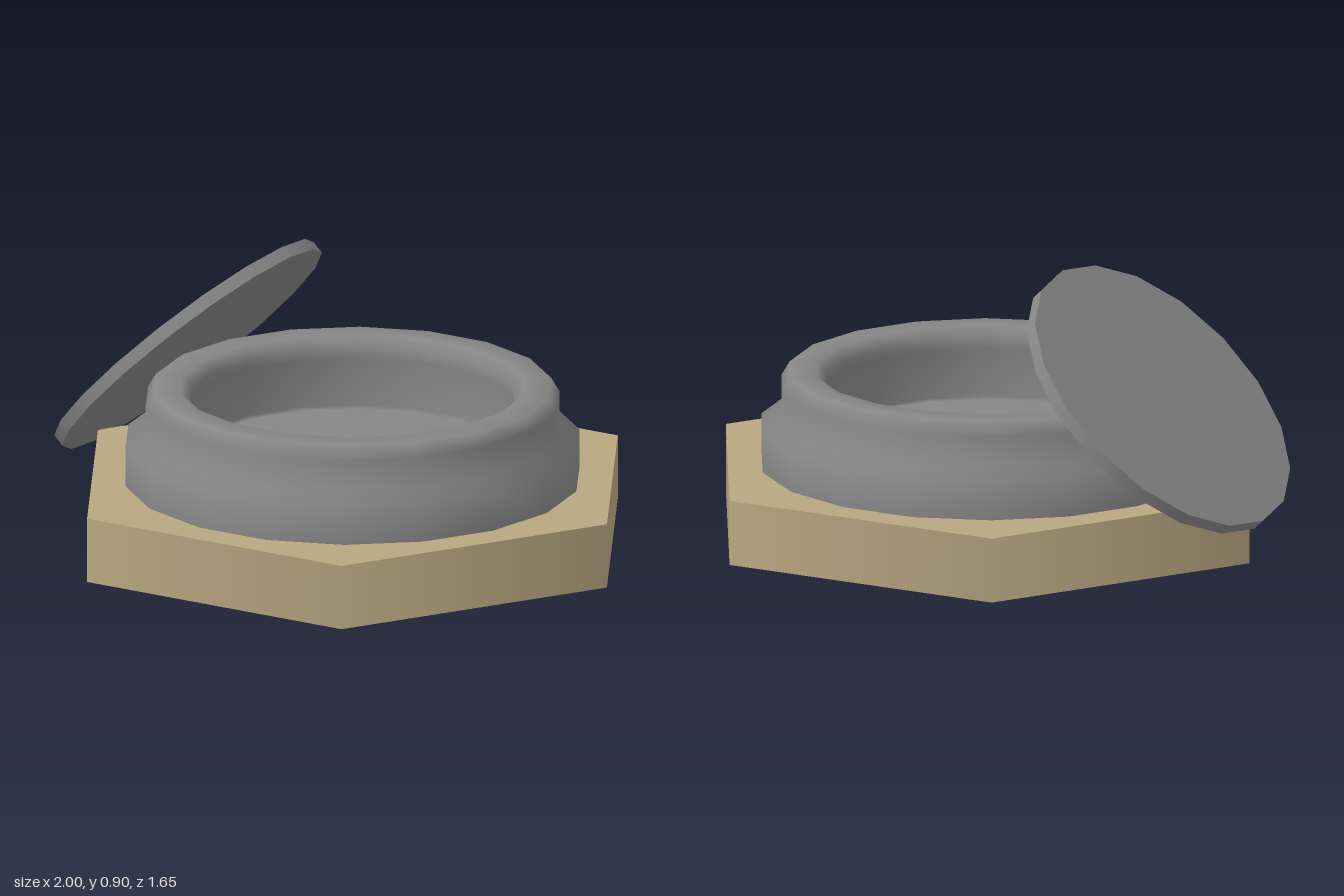
import * as THREE from 'three';

const SIDES = 18;

export function createModel() {
  const model = new THREE.Group();
  const grey = new THREE.MeshStandardMaterial({ color: 0x868686 });
  const tan = new THREE.MeshStandardMaterial({ color: 0xb8a680 });

  const add = (name, geometry, material, x, y, z) => {
    const mesh = new THREE.Mesh(geometry, material);
    mesh.name = name;
    mesh.position.set(x, y, z);
    model.add(mesh);
    return mesh;
  };

  // Hexagonal plinth with corners pointing left and right
  const hex = new THREE.CylinderGeometry(0.953, 0.953, 0.21, 6).rotateY(Math.PI / 2);
  add('base', hex, tan, 0.046, 0.105, 0);

  // Round bowl: stepped outer wall, rounded rim, slightly undercut inner wall and floor
  const profile = [
    [0.727, 0.205], [0.727, 0.338], [0.663, 0.364], [0.663, 0.468], [0.637, 0.512],
    [0.55, 0.512], [0.52, 0.475], [0.53, 0.44], [0.53, 0.285], [0.51, 0.28], [0, 0.28],
  ].map(([r, y]) => new THREE.Vector2(r, y));
  const bowl = new THREE.LatheGeometry(profile, SIDES).rotateY(Math.PI / 2);
  add('bowl', bowl, grey, 0.046, 0, 0);

  // Thin lid leaning against the rim at 45 degrees
  const disc = new THREE.CylinderGeometry(0.515, 0.515, 0.042, SIDES).rotateY(Math.PI / 2);
  const lid = add('lid', disc, grey, -0.622, 0.52, -0.084);
  lid.rotation.z = Math.PI / 4;

  return model;
}
